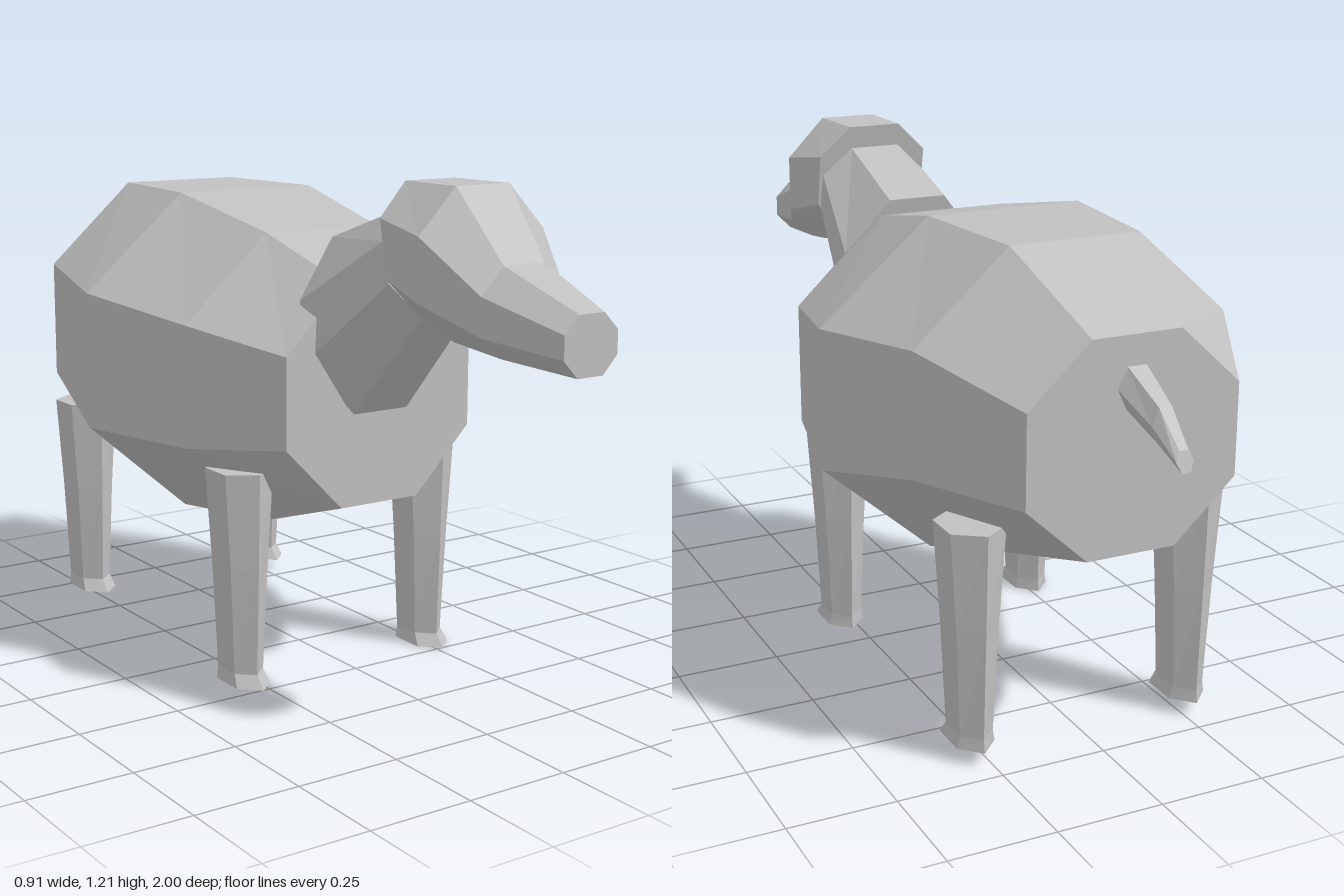
import * as THREE from 'three';

const wool = new THREE.MeshStandardMaterial({ color: 0xc0c0c0 });
wool.name = 'plain grey';
wool.flatShading = true;

// Closed loft through rings of points; rings run counter-clockwise about the loft direction
function loft(name, rings) {
  const pos = [];
  const tri = (...pts) => pts.forEach((p) => pos.push(...p));
  const n = rings[0].length;
  for (let r = 0; r < rings.length - 1; r++) {
    for (let k = 0; k < n; k++) {
      const a = rings[r][k], b = rings[r][(k + 1) % n];
      const c = rings[r + 1][(k + 1) % n], d = rings[r + 1][k];
      tri(a, b, c);
      tri(a, c, d);
    }
  }
  const first = rings[0], last = rings[rings.length - 1];
  for (let k = 1; k < n - 1; k++) {
    tri(first[0], first[k + 1], first[k]);
    tri(last[0], last[k], last[k + 1]);
  }
  const geo = new THREE.BufferGeometry();
  geo.setAttribute('position', new THREE.Float32BufferAttribute(pos, 3));
  geo.computeVertexNormals();
  const mesh = new THREE.Mesh(geo, wool);
  mesh.name = name;
  return mesh;
}

// Eight-sided section: centre x, half widths, four heights, and z at top and bottom
function octagon(x, wide, narrow, [top, up, low, bottom], zTop, zBottom = zTop) {
  const z = (y) => zTop + ((zBottom - zTop) * (top - y)) / (top - bottom);
  return [
    [narrow, top], [-narrow, top], [-wide, up], [-wide, low],
    [-narrow, bottom], [narrow, bottom], [wide, low], [wide, up],
  ].map(([px, y]) => [x + px, y, z(y)]);
}

// Six-sided horizontal section with corners pointing forward and back
function hexagon(x, y, z, halfX, halfZ) {
  return Array.from({ length: 6 }, (_, k) => {
    const a = (k * Math.PI) / 3;
    return [x + (halfX * Math.sin(a)) / Math.sin(Math.PI / 3), y, z + halfZ * Math.cos(a)];
  });
}

function leg(name, x, z, foot, top) {
  return loft(name, [
    hexagon(x, foot, z + 0.012, 0.046, 0.092),
    hexagon(x, foot + 0.03, z, 0.04, 0.075),
    hexagon(x, foot + (top - foot) * 0.55, z, 0.051, 0.084),
    hexagon(x, top, z, 0.066, 0.091),
  ]);
}

export function createModel() {
  const model = new THREE.Group();
  model.name = 'sheep';

  // Barrel body, rump to chest
  model.add(loft('body', [
    octagon(0, 0.25, 0.105, [0.99, 0.855, 0.645, 0.51], -0.84),
    octagon(0, 0.38, 0.157, [1.13, 0.93, 0.645, 0.44], -0.575),
    octagon(0, 0.457, 0.19, [1.13, 0.9, 0.567, 0.333], -0.24),
    octagon(0, 0.38, 0.158, [1.06, 0.86, 0.57, 0.365], 0.1),
    octagon(0, 0.26, 0.108, [0.965, 0.81, 0.595, 0.44], 0.34),
  ]));

  // Neck, slanting up into the skull
  model.add(loft('neck', [
    octagon(-0.003, 0.185, 0.075, [1.06, 0.925, 0.79, 0.66], 0.255, 0.345),
    octagon(0.005, 0.14, 0.065, [1.15, 1.08, 0.99, 0.91], 0.51, 0.57),
  ]));

  // Head, back of skull to muzzle
  model.add(loft('head', [
    octagon(0.005, 0.147, 0.068, [1.205, 1.13, 1.0, 0.91], 0.51, 0.57),
    octagon(0.013, 0.17, 0.072, [1.205, 1.105, 0.965, 0.875], 0.68),
    octagon(0.02, 0.113, 0.055, [1.05, 0.99, 0.905, 0.855], 0.81),
    octagon(0.037, 0.072, 0.034, [0.97, 0.932, 0.88, 0.84], 1.0),
  ]));

  // Four legs
  for (const [side, s] of [['left', 1], ['right', -1]]) {
    model.add(leg(side + 'FrontLeg', s * 0.268, 0.15, 0, 0.52));
    model.add(leg(side + 'BackLeg', s * 0.272, -0.625, 0.035, 0.55));
  }

  // Drooping tail, tip to root
  const tailRings = [
    [-0.025, 0.762, -0.993, 0.02, 0.022],
    [-0.012, 0.823, -0.935, 0.03, 0.038],
    [0, 0.88, -0.835, 0.045, 0.046],
  ].map(([x, y, z, halfX, halfY]) => Array.from({ length: 6 }, (_, k) => {
    const a = (k * Math.PI) / 3;
    const dy = halfY * Math.sin(a) / Math.sin(Math.PI / 3);
    return [x + halfX * Math.cos(a), y + dy, z - (z < -0.99 ? 0.3 * (0.022 - dy) - 0.0066 : 0)];
  }));
  model.add(loft('tail', tailRings));

  return model;
}
